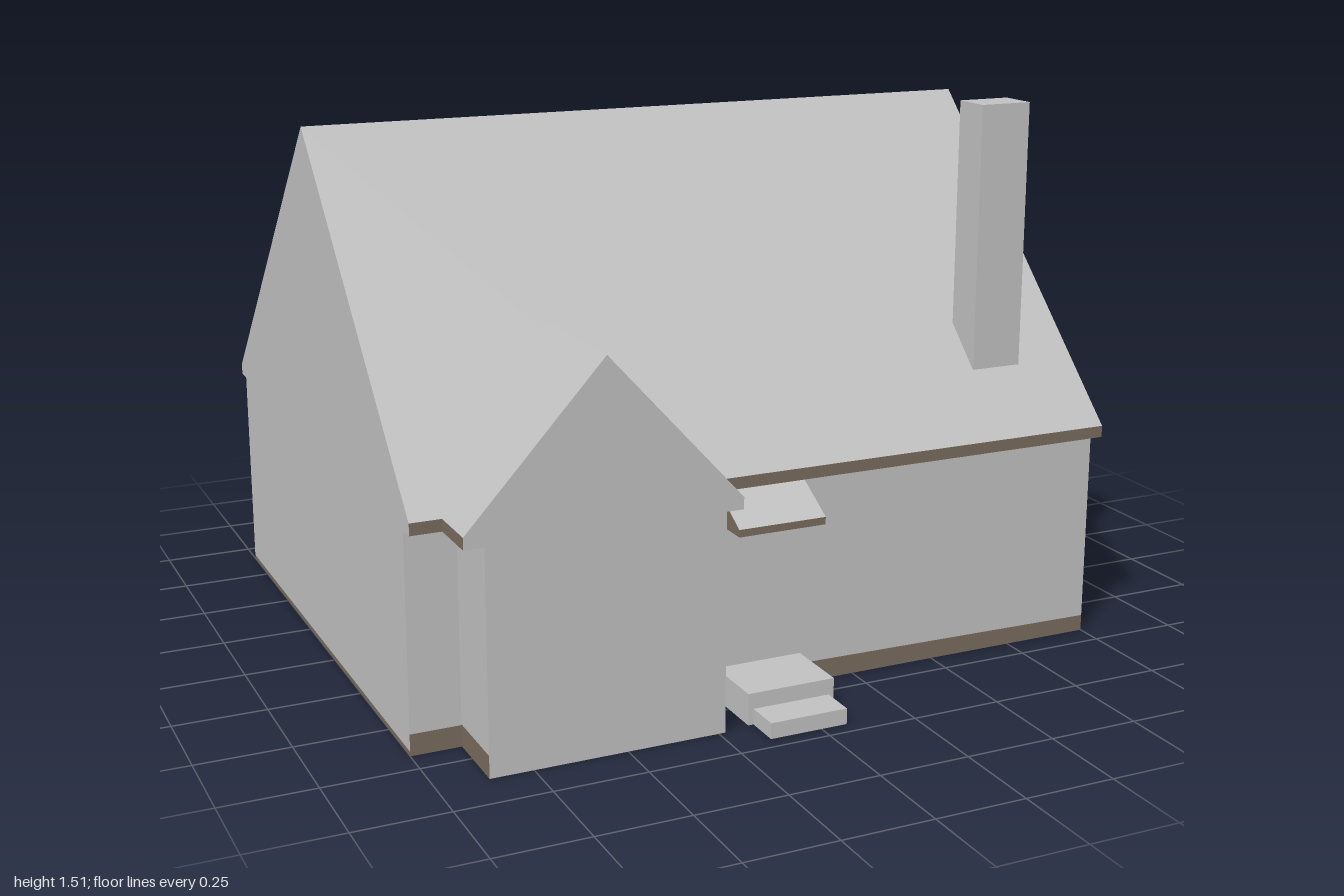
import * as THREE from 'three';

export function createModel() {
  const house = new THREE.Group();
  house.name = 'house';
  const grey = new THREE.MeshStandardMaterial({ color: 0xc0c0c0, side: THREE.DoubleSide });
  grey.name = 'pale grey';
  const brown = new THREE.MeshStandardMaterial({ color: 0x796a5d, side: THREE.DoubleSide });
  brown.name = 'brown trim';

  // Flat panel: a 2D outline whose points are placed in space by a rule
  function panel(name, material, outline, place, hole) {
    const shape = new THREE.Shape(outline.map(([u, v]) => new THREE.Vector2(u, v)));
    if (hole) shape.holes.push(new THREE.Path(hole.map(([u, v]) => new THREE.Vector2(u, v))));
    const geometry = new THREE.ShapeGeometry(shape);
    const p = geometry.attributes.position;
    for (let i = 0; i < p.count; i++) p.setXYZ(i, ...place(p.getX(i), p.getY(i)));
    // Turn the panel to face outward from the middle of the house
    const a = [0, 1, 2].map(k => new THREE.Vector3().fromBufferAttribute(p, geometry.index.getX(k)));
    const n = a[1].clone().sub(a[0]).cross(a[2].clone().sub(a[0]));
    if (n.dot(a[0].clone().sub(new THREE.Vector3(-0.5, 0.6, 0))) < 0) {
      geometry.setIndex(Array.from(geometry.index.array).reverse());
    }
    geometry.computeVertexNormals();
    const mesh = new THREE.Mesh(geometry, material);
    mesh.name = name;
    house.add(mesh);
    return mesh;
  }
  const rect = (u0, v0, u1, v1) => [[u0, v0], [u1, v0], [u1, v1], [u0, v1]];
  const atX = x => (z, y) => [x, y, z];
  const atY = y => (x, z) => [x, y, z];
  const atZ = z => (x, y) => [x, y, z];

  const wallTop = 0.588, eave = 0.62, ridge = 1.46, ridgeZ = -0.118;
  const frontZ = 0.674, backZ = -0.905, eaveF = 0.723, eaveB = -0.954;
  const wingZ = 0.874, wingL = -0.865, wingR = -0.232, wingMid = -0.55;
  const wEaveL = -0.917, wEaveR = -0.185, wRidge = 1.02, wBack = 0.505;
  const doorL = -0.16, doorR = 0.088, base = 0.012;

  // Gable end walls with a thin base strip
  for (const [x, side] of [[1, 'left'], [-1, 'right']]) {
    panel(side + 'GableWall', grey, [
      [frontZ, base], [frontZ, wallTop], [eaveF, wallTop], [eaveF, eave], [ridgeZ, ridge],
      [eaveB, eave], [eaveB, wallTop], [backZ, wallTop], [backZ, base],
    ], atX(x));
    panel(side + 'BaseStrip', brown, rect(backZ, 0, frontZ, base), atX(x));
  }

  // Back wall
  panel('backWall', grey, rect(-1, base, 1, wallTop), atZ(backZ));
  panel('backBaseStrip', brown, rect(-1, 0, 1, base), atZ(backZ));

  // Front wall, open behind the steps and the door canopy
  panel('frontWall', grey, [
    [wingR, 0.062], [doorL, 0.061], [doorL, 0.086], [doorR, 0.086], [doorR, 0.056],
    [1, 0.045], [1, wallTop], [wingR, wallTop],
  ], atZ(frontZ), rect(doorL, 0.487, doorR, 0.58));
  panel('frontWallCorner', grey, rect(-1, 0.058, wingL, wallTop), atZ(frontZ));
  panel('frontBaseRight', brown, [[doorR, 0], [1, 0], [1, 0.045], [doorR, 0.056]], atZ(frontZ));
  panel('frontBaseMiddle', brown, rect(wingR, 0, doorL, 0.062), atZ(frontZ));
  panel('frontBaseCorner', brown, rect(-1, 0, wingL, 0.058), atZ(frontZ));

  // Main roof, notched where the wing joins
  const slopeF = (ridge - eave) / (eaveF - ridgeZ);
  const slopeB = (ridge - eave) / (ridgeZ - eaveB);
  const roofF = z => eave + (eaveF - z) * slopeF;
  const notchY = roofF(wBack);
  const run = (notchY - eave) / (wRidge - eave);
  const notchL = wEaveL + (wingMid - wEaveL) * run;
  const notchR = wEaveR + (wingMid - wEaveR) * run;
  panel('frontRoof', grey, [
    [-1, ridgeZ], [1, ridgeZ], [1, eaveF], [wEaveR, eaveF], [notchR, wBack],
    [notchL, wBack], [wEaveL, eaveF], [-1, eaveF],
  ], (x, z) => [x, roofF(z), z]);
  panel('backRoof', grey, rect(-1, eaveB, 1, ridgeZ),
    (x, z) => [x, eave + (z - eaveB) * slopeB, z]);

  // Eave boards and soffits
  for (const [x0, x1, zEave, zWall] of [
    [-1, 1, eaveB, backZ], [-1, wEaveL, eaveF, frontZ], [wEaveR, 1, eaveF, frontZ],
  ]) {
    panel('eaveBoard', brown, rect(x0, wallTop, x1, eave), atZ(zEave));
    panel('eaveSoffit', brown, rect(x0, zWall, x1, zEave), atY(wallTop));
  }

  // Front wing: gable wall, side walls, roof slopes and eaves
  panel('wingGableWall', grey, [
    [wingL, 0], [wingR, 0], [wingR, wallTop], [wEaveR, wallTop], [wEaveR, eave],
    [wingMid, wRidge], [wEaveL, eave], [wEaveL, wallTop], [wingL, wallTop],
  ], atZ(wingZ));
  for (const [xWall, xEave, xNotch] of [[wingL, wEaveL, notchL], [wingR, wEaveR, notchR]]) {
    panel('wingSideWall', grey, rect(frontZ, 0.06, wingZ, wallTop), atX(xWall));
    panel('wingBaseStrip', brown, rect(frontZ, 0, wingZ, 0.06), atX(xWall));
    panel('wingRoof', grey,
      [[xEave, wingZ], [wingMid, wingZ], [wingMid, wBack], [xNotch, wBack], [xEave, eaveF]],
      (x, z) => [x, eave + (wRidge - eave) * (x - xEave) / (wingMid - xEave), z]);
    panel('wingEaveBoard', brown, rect(eaveF, wallTop, wingZ, eave), atX(xEave));
    panel('wingEaveSoffit', brown,
      rect(Math.min(xWall, xEave), frontZ, Math.max(xWall, xEave), wingZ), atY(wallTop));
  }
  panel('wingRoofBack', grey, [[notchL, notchY], [notchR, notchY], [wingMid, wRidge]], atZ(wBack));

  // Door canopy: sloping top with brown lip, cheeks and underside
  const lipZ = 0.8, lipY = 0.507, low = 0.487, high = 0.58;
  panel('canopyTop', grey, rect(doorL, frontZ, doorR, lipZ),
    (x, z) => [x, high + (lipY - high) * (z - frontZ) / (lipZ - frontZ), z]);
  panel('canopyLip', brown, rect(doorL, low, doorR, lipY), atZ(lipZ));
  panel('canopyUnderside', brown, rect(doorL, frontZ, doorR, lipZ), atY(low));
  for (const x of [doorL, doorR]) {
    panel('canopyCheek', brown, [[frontZ, low], [lipZ, low], [lipZ, lipY], [frontZ, high]], atX(x));
  }

  // Hollow entrance steps
  for (const [name, x0, x1, z0, z1, h] of [
    ['upperStep', doorL, doorR, frontZ, 0.86, 0.086],
    ['lowerStep', -0.145, 0.073, 0.86, 0.957, 0.043],
  ]) {
    const tread = panel(name + 'Tread', grey, rect(x0, z0, x1, z1), atY(h));
    tread.geometry.setIndex(Array.from(tread.geometry.index.array).reverse());
    tread.geometry.computeVertexNormals();
    panel(name + 'Riser', grey, rect(x0, 0, x1, h), atZ(z1));
    for (const x of [x0, x1]) panel(name + 'Side', grey, rect(z0, 0, z1, h), atX(x));
  }

  // Chimney, cut along the roof slope
  const c0 = 0.455, c1 = 0.565, cx0 = 0.674, cx1 = 0.823, cTop = 1.507;
  for (const x of [cx0, cx1]) {
    panel('chimneySide', grey, [[c0, roofF(c0)], [c1, roofF(c1)], [c1, cTop], [c0, cTop]], atX(x));
  }
  for (const z of [c0, c1]) panel('chimneyFace', grey, rect(cx0, roofF(z), cx1, cTop), atZ(z));
  panel('chimneyTop', grey, rect(cx0, c0, cx1, c1), atY(cTop));

  return house;
}
